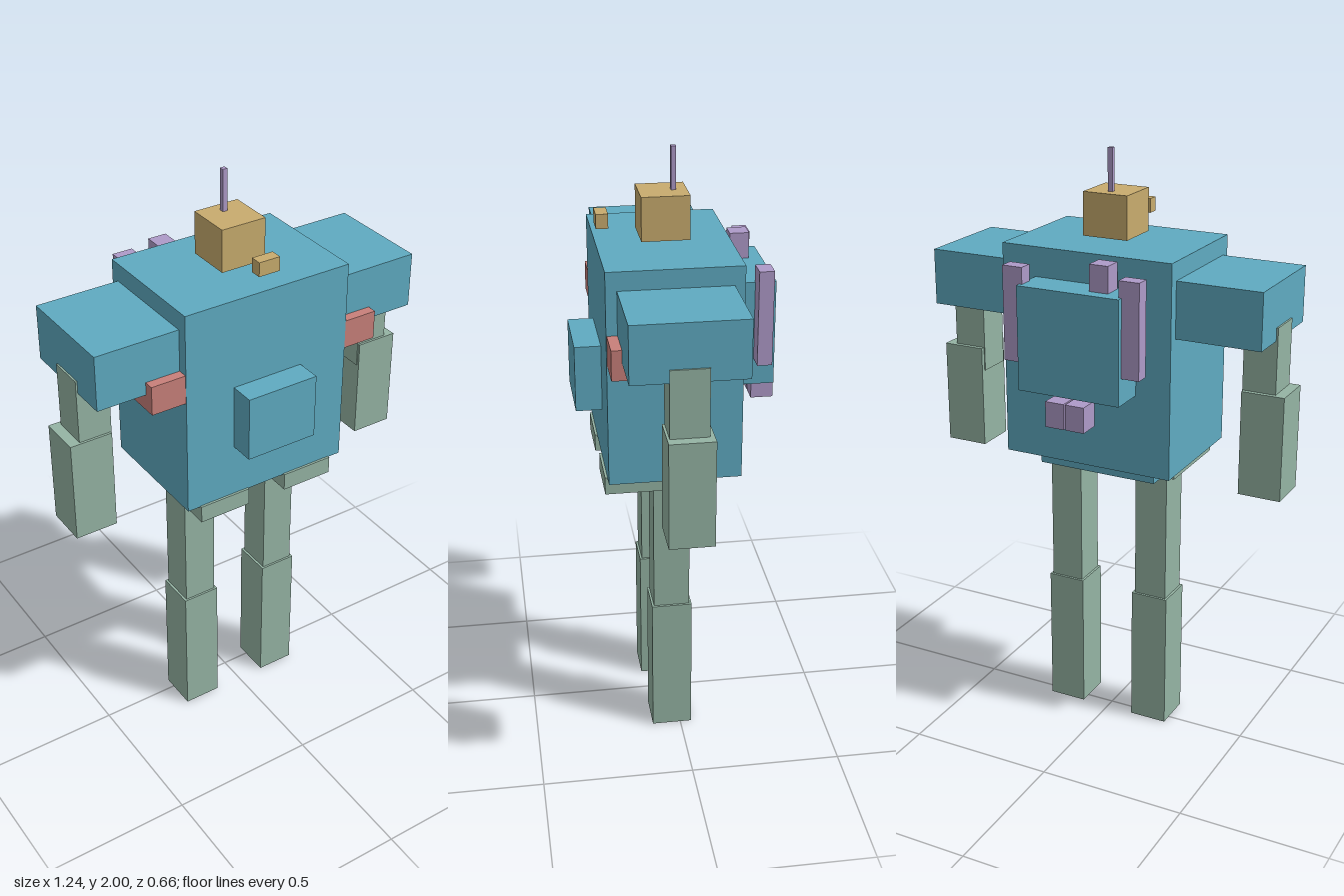
import * as THREE from 'three';

const paint = (name, color) => {
  const m = new THREE.MeshStandardMaterial({ color });
  m.name = name;
  return m;
};

export function createModel() {
  const blue = paint('armourBlue', 0x5fabc1);
  const green = paint('limbGreen', 0x95b4a4);
  const gold = paint('headGold', 0xc8ac6e);
  const purple = paint('thrusterPurple', 0xae9ac8);
  const red = paint('ventRed', 0xc8807a);

  const robot = new THREE.Group();
  robot.name = 'robot';

  // Block given by its [min, max] range on each axis
  const block = (name, material, [x0, x1], [y0, y1], [z0, z1]) => {
    const mesh = new THREE.Mesh(new THREE.BoxGeometry(x1 - x0, y1 - y0, z1 - z0), material);
    mesh.position.set((x0 + x1) / 2, (y0 + y1) / 2, (z0 + z1) / 2);
    mesh.name = name;
    robot.add(mesh);
  };
  // Left block plus its mirror on the right
  const pair = (name, material, [x0, x1], y, z) => {
    block('left' + name, material, [x0, x1], y, z);
    block('right' + name, material, [-x1, -x0], y, z);
  };

  // Body
  block('torso', blue, [-0.297, 0.297], [0.995, 1.703], [-0.185, 0.242]);
  block('chestHatch', blue, [-0.125, 0.125], [1.18, 1.4], [0.24, 0.327]);
  block('pelvis', blue, [-0.21, 0.21], [0.94, 1.0], [-0.113, 0.17]);
  pair('HipPlate', green, [0.07, 0.252], [0.938, 0.998], [-0.045, 0.25]);

  // Head
  block('head', gold, [-0.078, 0.078], [1.72, 1.862], [-0.05, 0.104]);
  block('eye', gold, [-0.037, 0.037], [1.755, 1.802], [0.202, 0.241]);
  block('antenna', purple, [-0.008, 0.008], [1.86, 2], [-0.015, 0.001]);

  // Arms
  pair('Shoulder', blue, [0.297, 0.581], [1.457, 1.642], [-0.152, 0.207]);
  pair('Vent', red, [0.297, 0.415], [1.402, 1.5], [0.09, 0.24]);
  pair('UpperArm', green, [0.475, 0.587], [1.2, 1.5], [-0.03, 0.09]);
  pair('Forearm', green, [0.478, 0.622], [0.932, 1.282], [-0.045, 0.098]);

  // Legs
  pair('Thigh', green, [0.104, 0.218], [0.47, 0.96], [-0.03, 0.09]);
  pair('LowerLeg', green, [0.096, 0.226], [0, 0.482], [-0.038, 0.097]);

  // Backpack and its fittings
  block('backpack', blue, [-0.178, 0.178], [1.263, 1.606], [-0.306, -0.18]);
  pair('Booster', purple, [0.168, 0.238], [1.35, 1.66], [-0.287, -0.239]);
  pair('Nozzle', purple, [0.003, 0.068], [1.165, 1.25], [-0.329, -0.256]);
  block('launcher', purple, [-0.12, -0.056], [1.604, 1.692], [-0.263, -0.2]);

  return robot;
}
